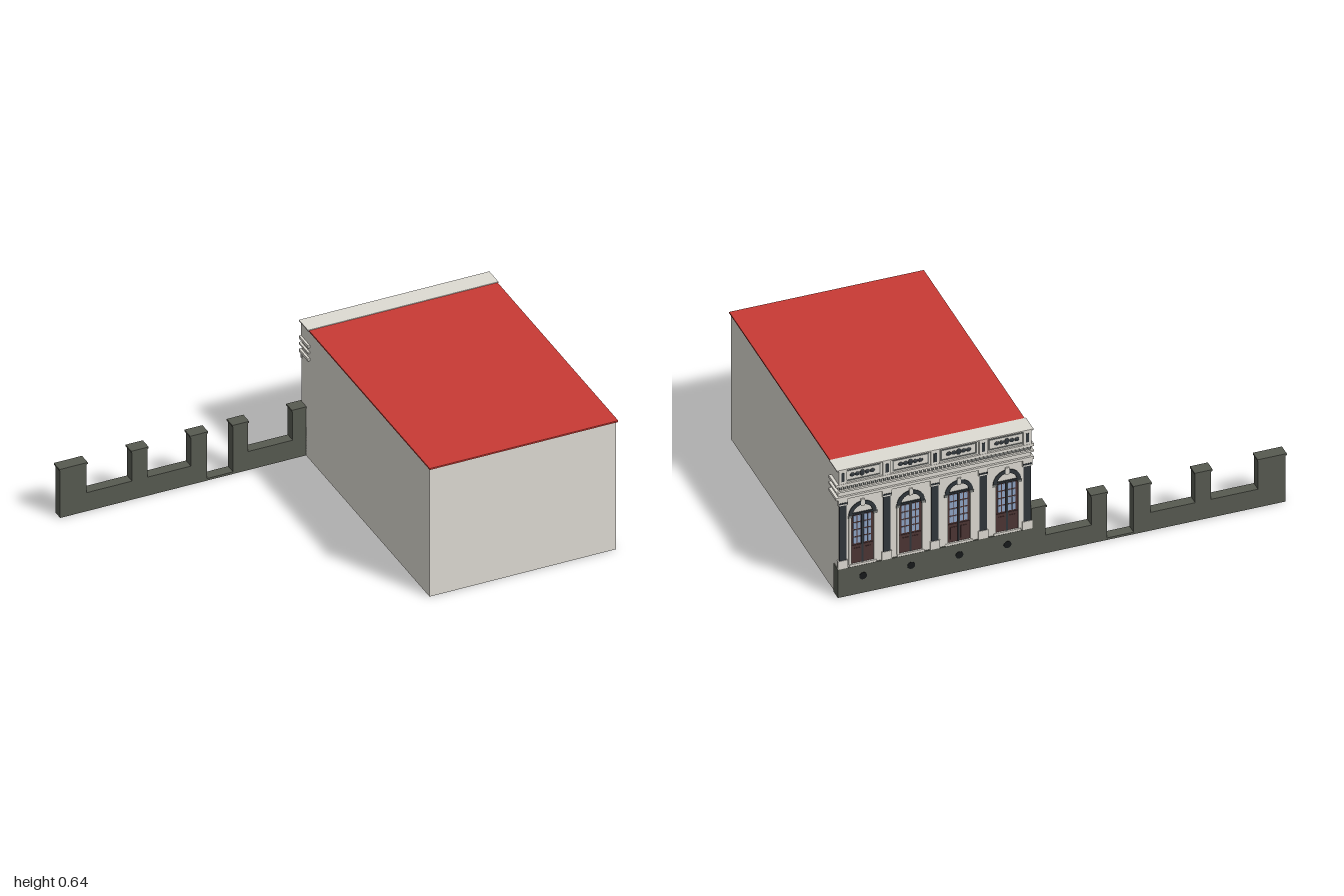
import * as THREE from 'three';

const mat = (color) => new THREE.MeshStandardMaterial({ color, flatShading: true });
const M = {
  wall: mat(0xdedbd3), roof: mat(0xc83a34), stone: mat(0x575a51), dark: mat(0x30363b),
  glass: mat(0x8fa5c6), wood: mat(0x4d3534), ornament: mat(0x7c7f7c), hole: mat(0x17191a),
};

export function createModel() {
  const root = new THREE.Group();

  // Box given by its two opposite corners
  const box = (name, x0, x1, y0, y1, z0, z1, m, parent = root) => {
    const mesh = new THREE.Mesh(new THREE.BoxGeometry(x1 - x0, y1 - y0, z1 - z0), m);
    mesh.position.set((x0 + x1) / 2, (y0 + y1) / 2, (z0 + z1) / 2);
    mesh.name = name;
    parent.add(mesh);
    return mesh;
  };
  const extrude = (name, shape, z, depth, m, parent) => {
    const geo = new THREE.ExtrudeGeometry(shape, { depth, bevelEnabled: false, curveSegments: 14 });
    const mesh = new THREE.Mesh(geo, m);
    mesh.position.z = z;
    mesh.name = name;
    parent.add(mesh);
  };
  // Round-headed opening outline
  const arch = (path, cx, r, y0, spring) => {
    path.moveTo(cx - r, y0);
    path.lineTo(cx + r, y0);
    path.lineTo(cx + r, spring);
    path.absarc(cx, spring, r, 0, Math.PI, false);
    path.lineTo(cx - r, y0);
    return path;
  };

  const X0 = 0.13, X1 = 0.982, BAY = (X1 - X0) / 4;
  const centres = [0, 1, 2, 3].map((i) => X0 + BAY * (i + 0.5));

  // Main block and roof
  box('building', X0, X1, 0, 0.628, -0.61, 0.62, M.wall);
  box('roof', X0 - 0.003, X1 + 0.006, 0.627, 0.634, -0.618, 0.628, M.roof);
  box('coping', 0.122, 0.992, 0.631, 0.637, -0.628, -0.54, M.wall);

  // Plinth with round vents
  box('plinth', X0, 0.987, 0, 0.14, -0.625, -0.573, M.stone);
  for (const x of centres) {
    const vent = new THREE.Mesh(new THREE.CylinderGeometry(0.017, 0.017, 0.003, 18), M.hole);
    vent.rotation.x = Math.PI / 2;
    vent.position.set(x, 0.085, -0.6255);
    vent.name = 'vent';
    root.add(vent);
  }

  // Facade wall pierced by four arched openings
  const facade = new THREE.Group();
  facade.name = 'facade';
  root.add(facade);
  const R = 0.05, SILL = 0.15, SPRING = 0.395;
  const wall = new THREE.Shape();
  wall.moveTo(X0, 0.14);
  wall.lineTo(X1, 0.14);
  wall.lineTo(X1, 0.49);
  wall.lineTo(X0, 0.49);
  for (const x of centres) wall.holes.push(arch(new THREE.Path(), x, R, SILL, SPRING));
  extrude('facadeWall', wall, -0.619, 0.009, M.wall, facade);

  // Window in each opening
  for (const x of centres) {
    const win = new THREE.Group();
    win.name = 'window';
    facade.add(win);
    box('doorPanel', x - R, x + R, SILL, 0.24, -0.616, -0.61, M.wood, win);
    for (const s of [-1, 1]) {
      const px = x + s * 0.023;
      box('lowerPanel', px - 0.014, px + 0.014, 0.165, 0.225, -0.618, -0.614, M.wood, win);
      for (let r = 0; r < 4; r++) for (const c of [-1, 1]) {
        const gx = px + c * 0.009, y = 0.247 + r * 0.036;
        box('pane', gx - 0.007, gx + 0.007, y, y + 0.03, -0.615, -0.611, M.glass, win);
      }
    }
    box('sash', x - R, x + R, 0.24, 0.395, -0.6135, -0.61, M.wood, win);
    box('mullion', x - 0.004, x + 0.004, SILL, 0.395, -0.618, -0.612, M.dark, win);
    box('transom', x - R, x + R, 0.391, 0.399, -0.619, -0.612, M.dark, win);
    // Arch moulding with its inner ring and keystone
    const ring = new THREE.Shape();
    ring.absarc(x, SPRING, R + 0.012, 0, Math.PI, false);
    ring.absarc(x, SPRING, R - 0.006, Math.PI, 0, true);
    extrude('archMoulding', ring, -0.622, 0.008, M.dark, win);
    box('keystone', x - 0.008, x + 0.008, 0.435, 0.468, -0.625, -0.614, M.wall, win);
    box('sill', x - 0.06, x + 0.06, 0.14, 0.151, -0.624, -0.61, M.wall, win);
    for (const s of [-1, 1]) {
      const jx = x + s * 0.056;
      box('jamb', jx - 0.006, jx + 0.006, 0.15, SPRING, -0.622, -0.612, M.wall, win);
      box('impost', jx - 0.009, jx + 0.009, SPRING - 0.012, SPRING, -0.624, -0.612, M.ornament, win);
    }
  }

  // Pilasters between and beside the bays
  for (let i = 0; i <= 4; i++) {
    const x = THREE.MathUtils.clamp(X0 + BAY * i, X0 + 0.018, X1 - 0.018);
    const p = new THREE.Group();
    p.name = 'pilaster';
    facade.add(p);
    box('base', x - 0.022, x + 0.022, 0.14, 0.18, -0.625, -0.612, M.wall, p);
    box('shaft', x - 0.016, x + 0.016, 0.18, 0.455, -0.623, -0.612, M.dark, p);
    box('capital', x - 0.021, x + 0.021, 0.455, 0.487, -0.625, -0.612, M.wall, p);
    box('necking', x - 0.019, x + 0.019, 0.462, 0.469, -0.627, -0.612, M.dark, p);
  }

  // Three string courses wrapping the corners
  for (const [y0, y1] of [[0.485, 0.498], [0.521, 0.53], [0.549, 0.562]])
    box('cornice', 0.12, 0.995, y0, y1, -0.625, -0.538, M.wall);
  box('frieze', X0, X1, 0.498, 0.549, -0.616, -0.605, M.wall);
  for (let i = 0; i < 48; i++) {
    const x = X0 + ((i + 0.5) / 48) * (X1 - X0);
    box('dentil', x - 0.005, x + 0.005, 0.534, 0.549, -0.622, -0.612, M.ornament);
  }

  // Parapet with posts and ornamented panels
  box('parapet', X0, X1, 0.562, 0.628, -0.617, -0.605, M.wall);
  for (let i = 0; i <= 4; i++) {
    const x = THREE.MathUtils.clamp(X0 + BAY * i, X0 + 0.018, X1 - 0.018);
    box('parapetPost', x - 0.018, x + 0.018, 0.562, 0.632, -0.624, -0.61, M.wall);
    box('postInset', x - 0.007, x + 0.007, 0.575, 0.618, -0.626, -0.62, M.dark);
  }
  for (const x of centres) {
    const frame = new THREE.Shape();
    const rect = (p, w, h) => {
      p.moveTo(x - w, 0.596 - h);
      p.lineTo(x + w, 0.596 - h);
      p.lineTo(x + w, 0.596 + h);
      p.lineTo(x - w, 0.596 + h);
      return p;
    };
    rect(frame, 0.08, 0.027);
    frame.holes.push(rect(new THREE.Path(), 0.075, 0.022));
    extrude('panelFrame', frame, -0.62, 0.004, M.ornament, root);
    for (let k = -2; k <= 2; k++) {
      const boss = new THREE.Mesh(new THREE.SphereGeometry(1, 10, 6), M.dark);
      boss.scale.set(0.011, k === 0 ? 0.016 : 0.01, 0.004);
      boss.position.set(x + k * 0.022, 0.596, -0.617);
      boss.name = 'panelOrnament';
      root.add(boss);
    }
  }

  // Garden wall with capped piers and a gateway
  const fence = new THREE.Group();
  fence.name = 'gardenWall';
  root.add(fence);
  const Z0 = -0.624, Z1 = -0.576;
  const piers = [[-0.993, -0.872], [-0.665, -0.594], [-0.396, -0.322], [-0.203, -0.135], [0.069, 0.13]];
  for (const [a, b] of piers) {
    box('pier', a, b, 0, 0.235, Z0, Z1, M.stone, fence);
    box('pierCap', a - 0.005, Math.min(b + 0.003, 0.132), 0.233, 0.241, Z0 - 0.004, Z1 + 0.004, M.stone, fence);
  }
  for (let i = 0; i < piers.length - 1; i++) {
    const top = i === 2 ? 0.01 : 0.091;
    box(i === 2 ? 'threshold' : 'lowWall', piers[i][1], piers[i + 1][0], 0, top, Z0, Z1, M.stone, fence);
  }
  return root;
}
